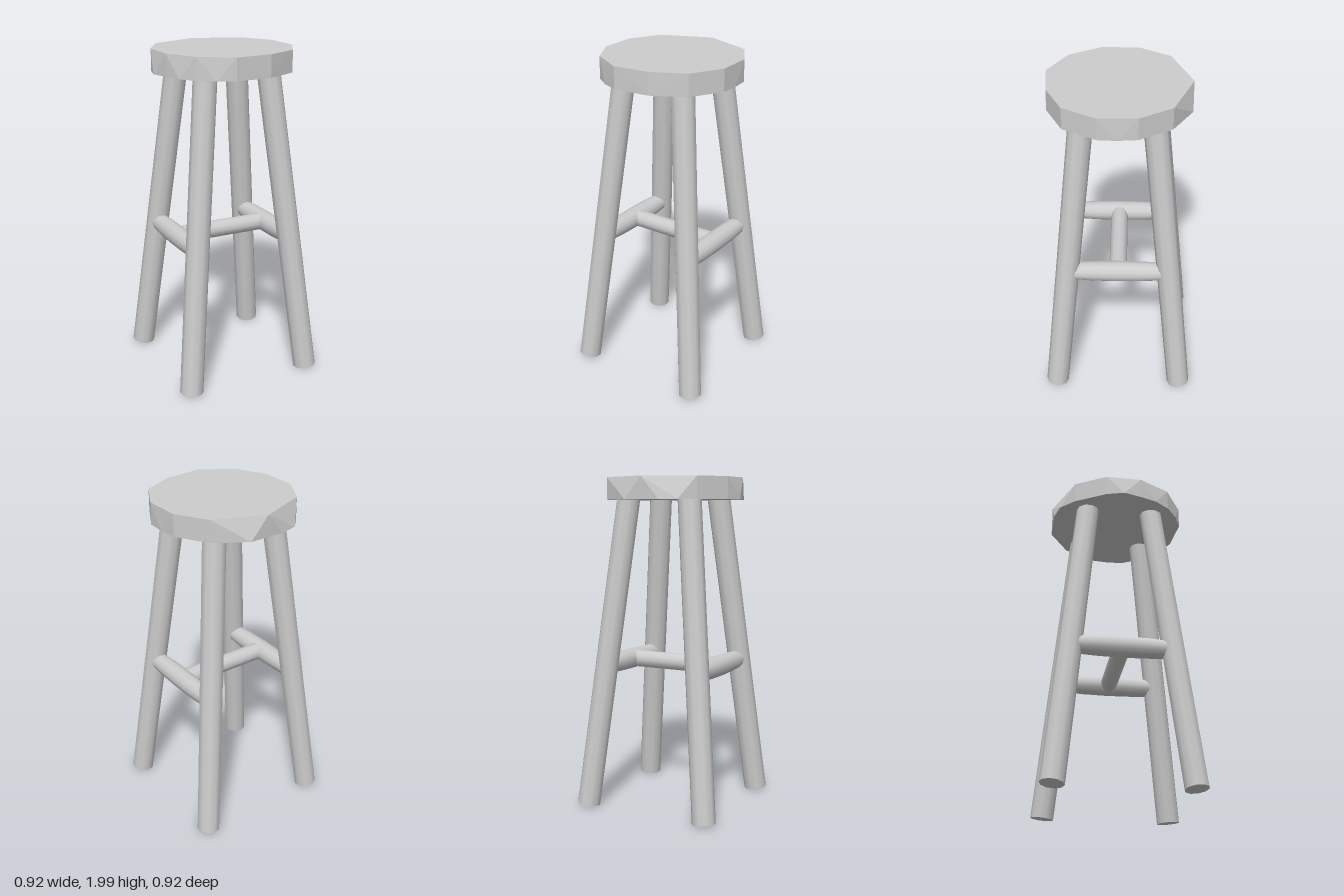
import * as THREE from 'three';
import { ConvexGeometry } from 'three/addons/geometries/ConvexGeometry.js';

const grey = new THREE.MeshStandardMaterial({ color: 0xcccccc });
grey.name = 'plain grey';

const UP = new THREE.Vector3(0, 1, 0);

// Round bar between two points; bulge widens its middle
function bar(name, a, b, radius, sides, bulge = 0) {
  const dir = b.clone().sub(a);
  const length = dir.length();
  const geo = new THREE.CylinderGeometry(radius, radius, length, sides, bulge ? 4 : 1);
  if (bulge) {
    const p = geo.attributes.position;
    for (let i = 0; i < p.count; i++) {
      const t = (2 * p.getY(i)) / length;
      const s = 1 + (bulge / radius) * (1 - t * t);
      p.setX(i, p.getX(i) * s);
      p.setZ(i, p.getZ(i) * s);
    }
  }
  const mesh = new THREE.Mesh(geo, grey);
  mesh.name = name;
  mesh.position.copy(a).add(b).multiplyScalar(0.5);
  mesh.quaternion.setFromUnitVectors(UP, dir.normalize());
  return mesh;
}

// Roughly hewn seat: two uneven outlines joined by facets
function createSeat() {
  const top = [
    [0, -0.415], [0.295, -0.295], [0.405, -0.11], [0.41, 0.11], [0.305, 0.3], [0.11, 0.395],
    [-0.11, 0.412], [-0.3, 0.297], [-0.4, 0.11], [-0.4, -0.11], [-0.295, -0.295],
  ];
  const bottom = [
    [-0.11, -0.41], [0.11, -0.41], [0.295, -0.295], [0.405, -0.11], [0.415, 0], [0.41, 0.11],
    [0.305, 0.3], [0.11, 0.398], [-0.11, 0.412], [-0.21, 0.367], [-0.3, 0.3], [-0.365, 0.21],
    [-0.4, 0.11], [-0.43, 0], [-0.4, -0.11], [-0.295, -0.295], [-0.215, -0.38],
  ];
  const points = [
    ...top.map(([x, z]) => new THREE.Vector3(x, 2, z)),
    ...bottom.map(([x, z]) => new THREE.Vector3(x, 1.87, z)),
  ];
  const seat = new THREE.Mesh(new ConvexGeometry(points), grey);
  seat.name = 'seat';
  return seat;
}

export function createModel() {
  const stool = new THREE.Group();
  stool.name = 'stool';
  stool.add(createSeat());

  // Four splayed legs, tops buried in the seat
  for (const [sx, xName] of [[1, 'Left'], [-1, 'Right']]) {
    for (const [sz, zName] of [[1, 'front'], [-1, 'back']]) {
      stool.add(bar(
        `${zName}${xName}Leg`,
        new THREE.Vector3(sx * 0.393, 0.018, sz * 0.391),
        new THREE.Vector3(sx * 0.2, 1.9, sz * 0.2),
        0.07, 10,
      ));
    }
    // Side stretcher, thickest in the middle
    stool.add(bar(
      `side${xName}Stretcher`,
      new THREE.Vector3(sx * 0.303, 0.876, -0.3),
      new THREE.Vector3(sx * 0.303, 0.876, 0.3),
      0.052, 12, 0.011,
    ));
  }

  // Cross stretcher joining the two side stretchers
  stool.add(bar(
    'crossStretcher',
    new THREE.Vector3(-0.3, 0.877, 0),
    new THREE.Vector3(0.3, 0.877, 0),
    0.053, 12,
  ));
  return stool;
}
